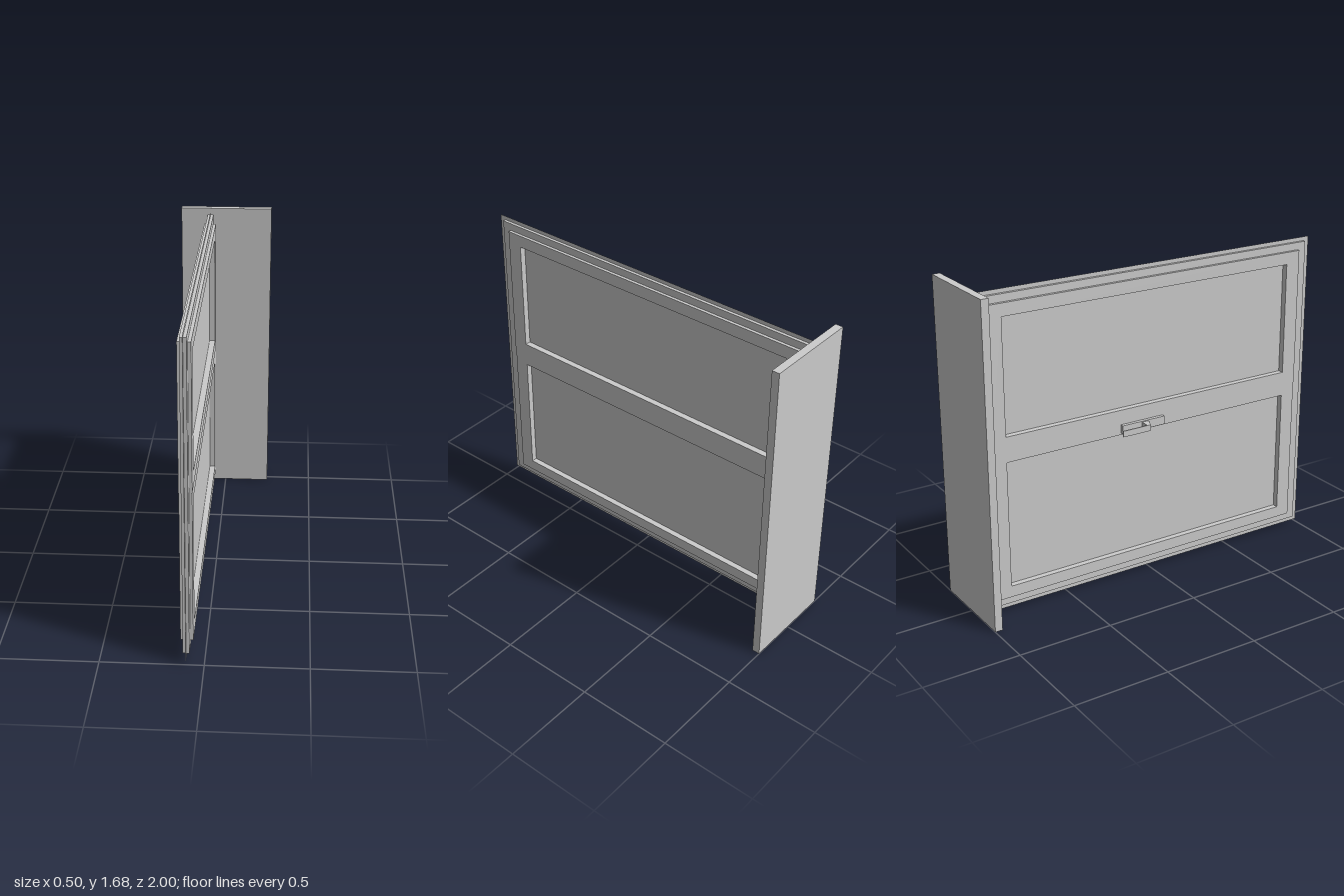
import * as THREE from 'three';

const MID = -0.088; // x of the glass plane

export function createModel() {
  const model = new THREE.Group();
  const material = new THREE.MeshStandardMaterial({ color: 0xcccccc, flatShading: true });
  const add = (name, geometry) => {
    const mesh = new THREE.Mesh(geometry, material);
    mesh.name = name;
    model.add(mesh);
    return mesh;
  };
  const corners = (z0, z1, y0, y1) =>
    [[z0, y0], [z1, y0], [z1, y1], [z0, y1]].map((p) => new THREE.Vector2(...p));

  // Rectangular frame in the z-y plane, centred on the glass
  const frame = (name, outer, hole, thickness) => {
    const shape = new THREE.Shape(corners(...outer));
    shape.holes.push(new THREE.Path(corners(...hole)));
    const geometry = new THREE.ExtrudeGeometry(shape, { depth: thickness, bevelEnabled: false });
    geometry.rotateY(-Math.PI / 2).translate(MID + thickness / 2, 0, 0);
    return add(name, geometry);
  };
  const box = (name, x0, x1, y0, y1, z0, z1) =>
    add(name, new THREE.BoxGeometry(x1 - x0, y1 - y0, z1 - z0)
      .translate((x0 + x1) / 2, (y0 + y1) / 2, (z0 + z1) / 2));

  // Board standing across the back end
  box('sideBoard', -0.25, 0.25, 0, 1.676, -1, -0.96);

  // Thin pane reaching past the frame as a flange
  const pane = add('glassPane', new THREE.PlaneGeometry(1.98, 1.645)
    .rotateY(Math.PI / 2).translate(MID, 0.8375, 0.01));
  pane.material = material.clone();
  pane.material.side = THREE.DoubleSide;

  // Outer frame and the two sashes
  frame('outerFrame', [-0.968, 0.968, 0.043, 1.639], [-0.9, 0.9, 0.1, 1.58], 0.032);
  frame('upperSash', [-0.915, 0.917, 0.87, 1.6], [-0.835, 0.837, 0.94, 1.535], 0.064);
  frame('lowerSash', [-0.915, 0.915, 0.083, 0.87], [-0.835, 0.837, 0.143, 0.808], 0.062);

  // Latch plate with a bent lever
  box('latchPlate', -0.138, -0.118, 0.818, 0.862, -0.19, 0.06);
  const lever = new THREE.Shape([
    [-0.137, -0.036], [-0.19, -0.058], [-0.19, -0.22], [-0.184, -0.22], [-0.184, -0.076], [-0.137, -0.076],
  ].map((p) => new THREE.Vector2(...p)));
  add('latchLever', new THREE.ExtrudeGeometry(lever, { depth: 0.032, bevelEnabled: false })
    .rotateX(Math.PI / 2).translate(0, 0.857, 0));

  return model;
}
